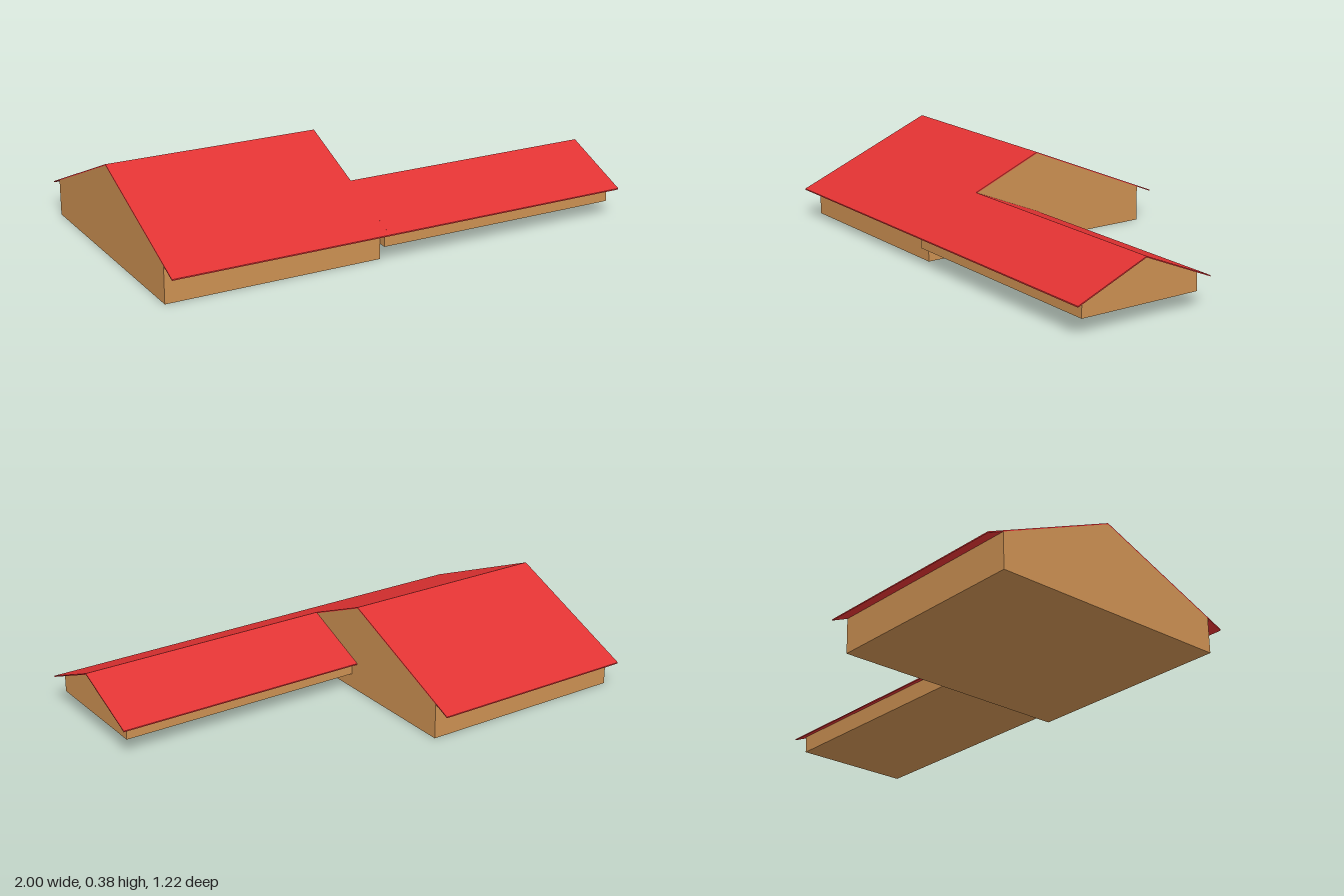
import * as THREE from 'three';

const wallMaterial = new THREE.MeshStandardMaterial({ color: 0xcc9052 });
const roofMaterial = new THREE.MeshStandardMaterial({ color: 0xe03232 });
const SLOPE = 0.418;
const THICKNESS = 0.005;

// Extrudes a cross-section of [z, y] points along x
function prism(name, points, x0, x1, material) {
  const shape = new THREE.Shape(points.map(([z, y]) => new THREE.Vector2(-z, y)));
  const geometry = new THREE.ExtrudeGeometry(shape, { depth: x1 - x0, bevelEnabled: false });
  geometry.rotateY(Math.PI / 2).translate(x0, 0, 0);
  const mesh = new THREE.Mesh(geometry, material);
  mesh.name = name;
  return mesh;
}

// Gabled block: five-sided walls under a thin folded roof with overhanging eaves
function gabledBlock(name, o) {
  const group = new THREE.Group();
  group.name = name;
  const under = o.ridge - THICKNESS;
  const eave = under - o.wallHalf * SLOPE;
  group.add(prism(name + 'Walls', [
    [o.z - o.wallHalf, o.base], [o.z + o.wallHalf, o.base],
    [o.z + o.wallHalf, eave], [o.z, under], [o.z - o.wallHalf, eave],
  ], o.x0, o.wallEnd, wallMaterial));

  const drop = o.roofHalf * SLOPE;
  group.add(prism(name + 'Roof', [
    [o.z - o.roofHalf, o.ridge - drop], [o.z - o.roofHalf, under - drop],
    [o.z, under], [o.z + o.roofHalf, under - drop],
    [o.z + o.roofHalf, o.ridge - drop], [o.z, o.ridge],
  ], o.x0, o.roofEnd, roofMaterial));
  return group;
}

export function createModel() {
  const house = new THREE.Group();
  house.name = 'house';
  house.add(
    // Main block, its roof flush with both gables
    gabledBlock('mainBlock', {
      x0: -1, wallEnd: -0.095, roofEnd: -0.095, z: 0,
      base: 0, ridge: 0.378, wallHalf: 0.535, roofHalf: 0.608,
    }),
    // Lower side wing, its front slope continuing the main roof
    gabledBlock('sideWing', {
      x0: -0.095, wallEnd: 0.97, roofEnd: 1, z: 0.304,
      base: 0.062, ridge: 0.251, wallHalf: 0.265, roofHalf: 0.304,
    }),
  );
  return house;
}
